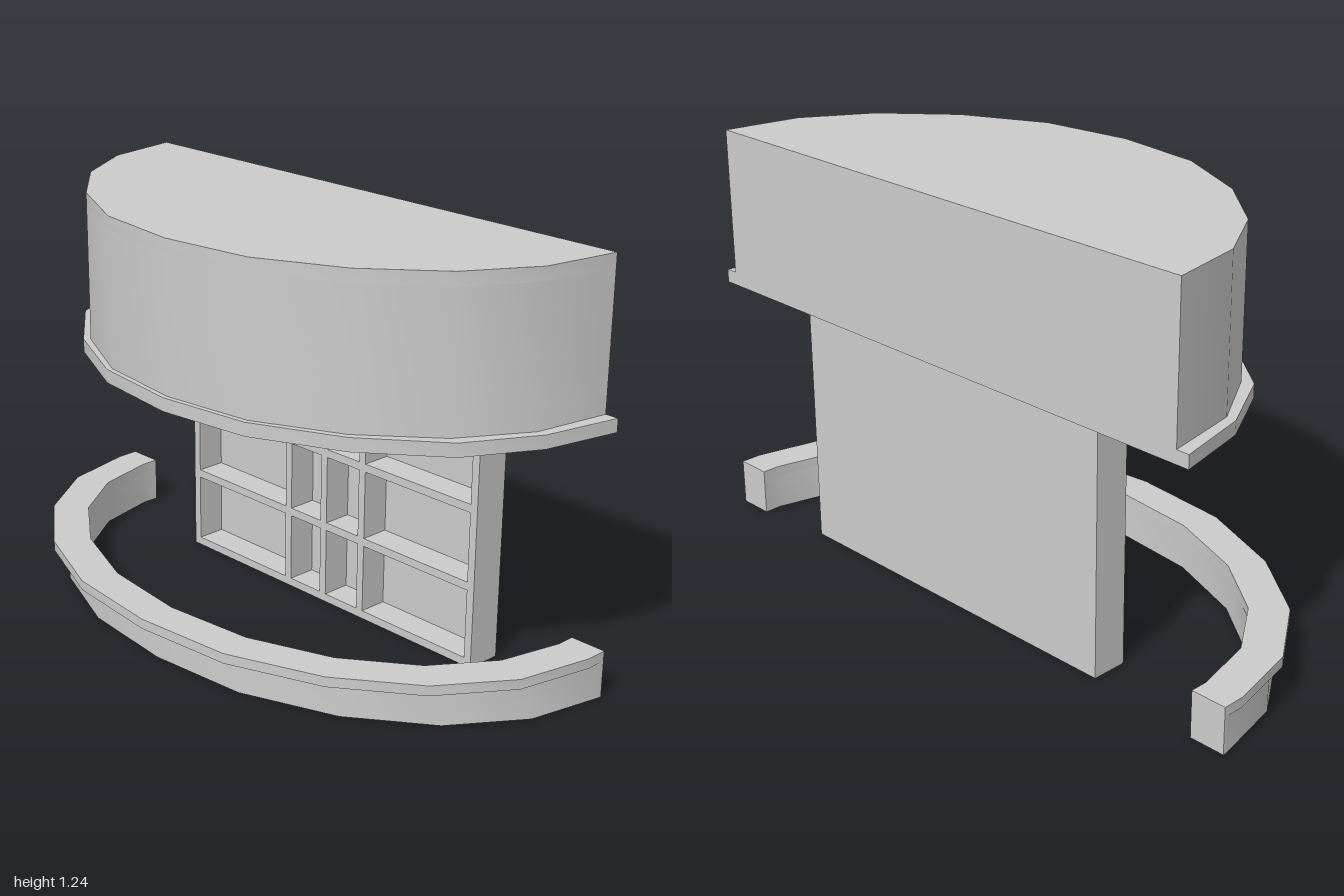
import * as THREE from 'three';
import { toCreasedNormals } from 'three/addons/utils/BufferGeometryUtils.js';

const material = new THREE.MeshStandardMaterial({ color: 0xcccccc });

// Mirror half an arc of [x, z] points (end first, middle last) about z = cz
function fullArc(half, cz = 0) {
  const back = half.map(([x, z]) => [x, cz - z]);
  const front = half.slice(0, -1).reverse().map(([x, z]) => [x, cz + z]);
  return [...back, ...front];
}

// Plan outline raised from y0 to y1, with an optional hole
function slab(name, outline, y0, y1, hole) {
  const toPoints = (pts) => pts.map(([x, z]) => new THREE.Vector2(x, -z));
  const shape = new THREE.Shape(toPoints(outline));
  if (hole) shape.holes.push(new THREE.Path(toPoints(hole)));
  const geometry = new THREE.ExtrudeGeometry(shape, { depth: y1 - y0, bevelEnabled: false });
  geometry.rotateX(-Math.PI / 2).translate(0, y0, 0);
  const mesh = new THREE.Mesh(toCreasedNormals(geometry, 0.6), material);
  mesh.name = name;
  return mesh;
}

// Box given by its limits on each axis
function box(name, [x0, x1], [y0, y1], [z0, z1]) {
  const mesh = new THREE.Mesh(new THREE.BoxGeometry(x1 - x0, y1 - y0, z1 - z0), material);
  mesh.position.set((x0 + x1) / 2, (y0 + y1) / 2, (z0 + z1) / 2);
  mesh.name = name;
  return mesh;
}

function createCounter() {
  const group = new THREE.Group();
  group.name = 'curvedCounter';
  const outer = [[0.385, 1], [0.32, 1], [0.095, 0.95], [-0.11, 0.81], [-0.275, 0.59], [-0.385, 0.31], [-0.415, 0]];
  const inner = [[0.385, 0.89], [0.33, 0.89], [0.14, 0.845], [-0.035, 0.725], [-0.18, 0.53], [-0.275, 0.28], [-0.305, 0]];
  // The body is the top's outline set back, so the overhang fades out at the ends
  const setBack = [outer[0], ...outer.slice(1).map(([x, z]) => [x + 0.055, z])];
  const innerArc = fullArc(inner).reverse();
  group.add(slab('counterTop', [...fullArc(outer), ...innerArc], 0.11, 0.14));
  group.add(slab('counterBody', [...fullArc(setBack), ...innerArc], 0, 0.11));
  return group;
}

function createCanopy() {
  const group = new THREE.Group();
  group.name = 'canopy';
  const cz = 0.045;
  const lip = [[0.412, 0.925], [0.18, 0.875], [-0.03, 0.76], [-0.205, 0.545], [-0.325, 0.285], [-0.36, 0]];
  const wall = [[0.412, 0.885], [0.18, 0.845], [-0.02, 0.725], [-0.19, 0.53], [-0.31, 0.28], [-0.345, 0]];
  const hollow = fullArc(lip.map(([x, z]) => [0.395 - (0.412 - x) * 0.86, z * 0.87]), cz);
  group.add(slab('canopyLip', fullArc(lip, cz), 0.76, 0.8, hollow));
  group.add(slab('canopyWall', fullArc(wall, cz), 0.8, 1.2, hollow));
  group.add(slab('canopyRoof', fullArc(wall, cz), 1.2, 1.24));
  return group;
}

function createShelfUnit() {
  const group = new THREE.Group();
  group.name = 'shelfUnit';
  const x = [0.245, 0.34], z = [-0.525, 0.65], height = 1.2, t = 0.025;
  group.add(box('backPanel', [0.335, 0.355], [0, height], z));
  // Side panels and inner dividers
  for (const z0 of [z[0], -0.105, 0.045, 0.2, z[1] - t]) {
    group.add(box('upright', x, [0, height], [z0, z0 + t]));
  }
  // Evenly spaced shelves
  const rows = 5;
  for (let i = 0; i <= rows; i++) {
    const y = (i / rows) * (height - t);
    group.add(box('shelf', x, [y, y + t], z));
  }
  return group;
}

export function createModel() {
  const model = new THREE.Group();
  model.name = 'kiosk';
  model.add(createCounter(), createShelfUnit(), createCanopy());
  return model;
}
